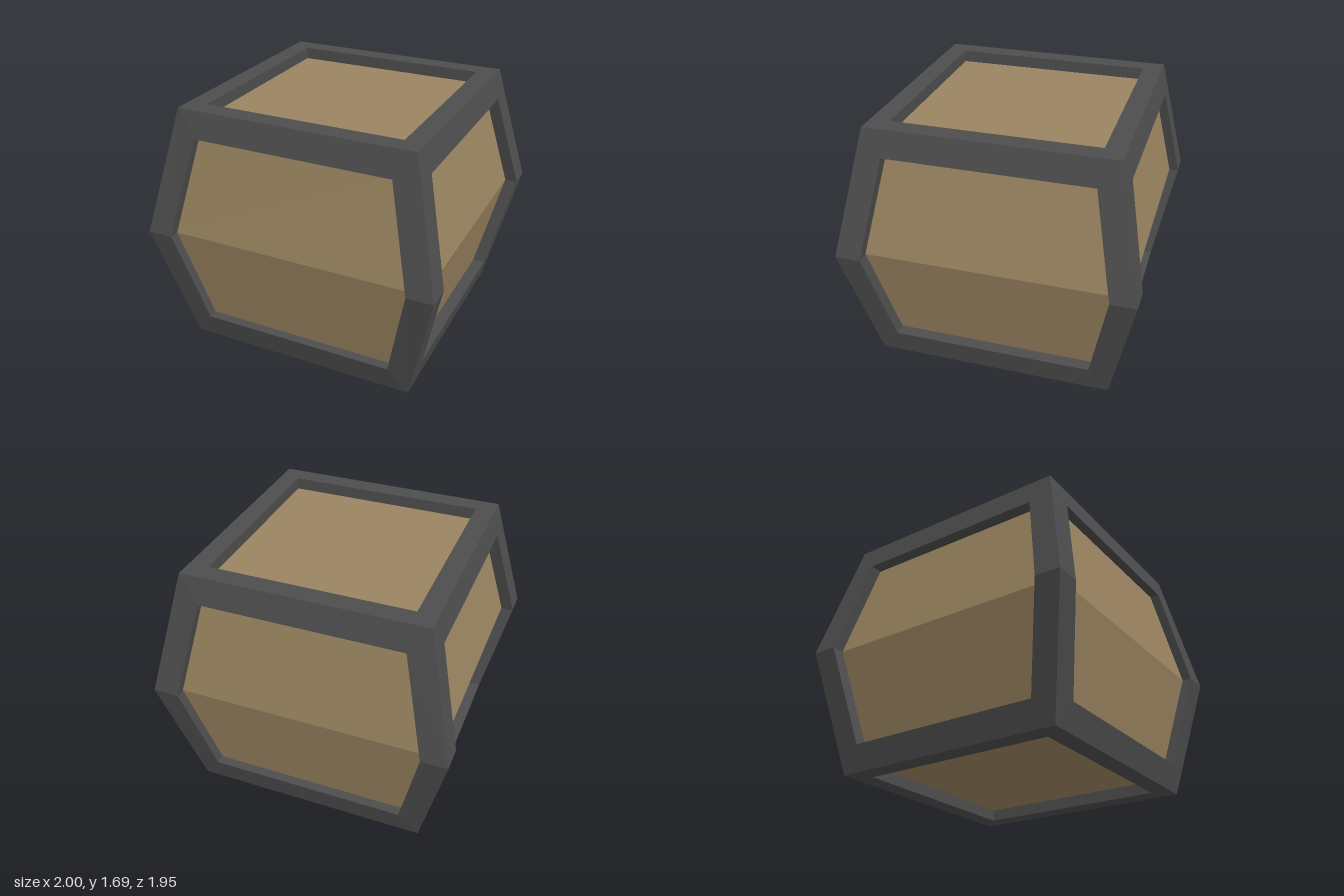
import * as THREE from 'three';

const HALF = 0.845; // half of the total height
const frameMat = new THREE.MeshStandardMaterial({ color: 0x4d4d4d, flatShading: true });
const panelMat = new THREE.MeshStandardMaterial({ color: 0x9a8460, flatShading: true });

// Flat-shaded mesh from quads whose corners run counter-clockwise
function quadMesh(name, quads, material) {
  const pos = [];
  for (const [a, b, c, d] of quads) pos.push(...a, ...b, ...c, ...a, ...c, ...d);
  const geo = new THREE.BufferGeometry();
  geo.setAttribute('position', new THREE.Float32BufferAttribute(pos, 3));
  geo.computeVertexNormals();
  const mesh = new THREE.Mesh(geo, material);
  mesh.name = name;
  return mesh;
}

// Quads joining two matching closed rings
const strip = (a, b) => a.map((p, i) => {
  const j = (i + 1) % a.length;
  return [p, a[j], b[j], b[i]];
});

// One face: a border from outer to inner ring, recess walls and a sunken panel
function face(name, outer, inner, depth, panelQuads) {
  const sunk = inner.map(([x, y, z]) => [x, y, z - depth]);
  const group = new THREE.Group();
  group.name = name;
  group.add(quadMesh(name + 'Frame', [...strip(outer, inner), ...strip(inner, sunk)], frameMat));
  group.add(quadMesh(name + 'Panel', panelQuads.map(q => q.map(i => sunk[i])), panelMat));
  return group;
}

// Six-cornered ring folded outward at mid-height
const hexRing = (w, h, d, midW, midD) => [
  [-w, -h, d], [w, -h, d], [midW, 0, midD], [w, h, d], [-w, h, d], [-midW, 0, midD],
];
const squareRing = (s, d) => [[-s, -s, d], [s, -s, d], [s, s, d], [-s, s, d]];

export function createModel() {
  const model = new THREE.Group();
  model.name = 'crate';
  const body = new THREE.Group();
  body.name = 'body';
  body.position.y = HALF;
  model.add(body);

  // Four bulging sides
  ['front', 'left', 'back', 'right'].forEach((name, i) => {
    const alongX = i % 2 === 0;
    const [midW, midD] = alongX ? [1, 0.975] : [0.975, 1];
    const [openW, openD] = alongX ? [0.825, 0.843] : [0.805, 0.841];
    const side = face(
      name,
      hexRing(0.8, HALF, 0.8, midW, midD),
      hexRing(0.67, 0.67, openD, openW, midD),
      alongX ? 0.065 : 0.085,
      [[0, 1, 2, 5], [5, 2, 3, 4]],
    );
    side.rotation.y = i * Math.PI / 2;
    body.add(side);
  });

  // Flat top and bottom
  for (const [name, turn] of [['top', -1], ['bottom', 1]]) {
    const cap = face(name, squareRing(0.8, HALF), squareRing(0.67, HALF), 0.08, [[0, 1, 2, 3]]);
    cap.rotation.x = turn * Math.PI / 2;
    body.add(cap);
  }
  return model;
}
